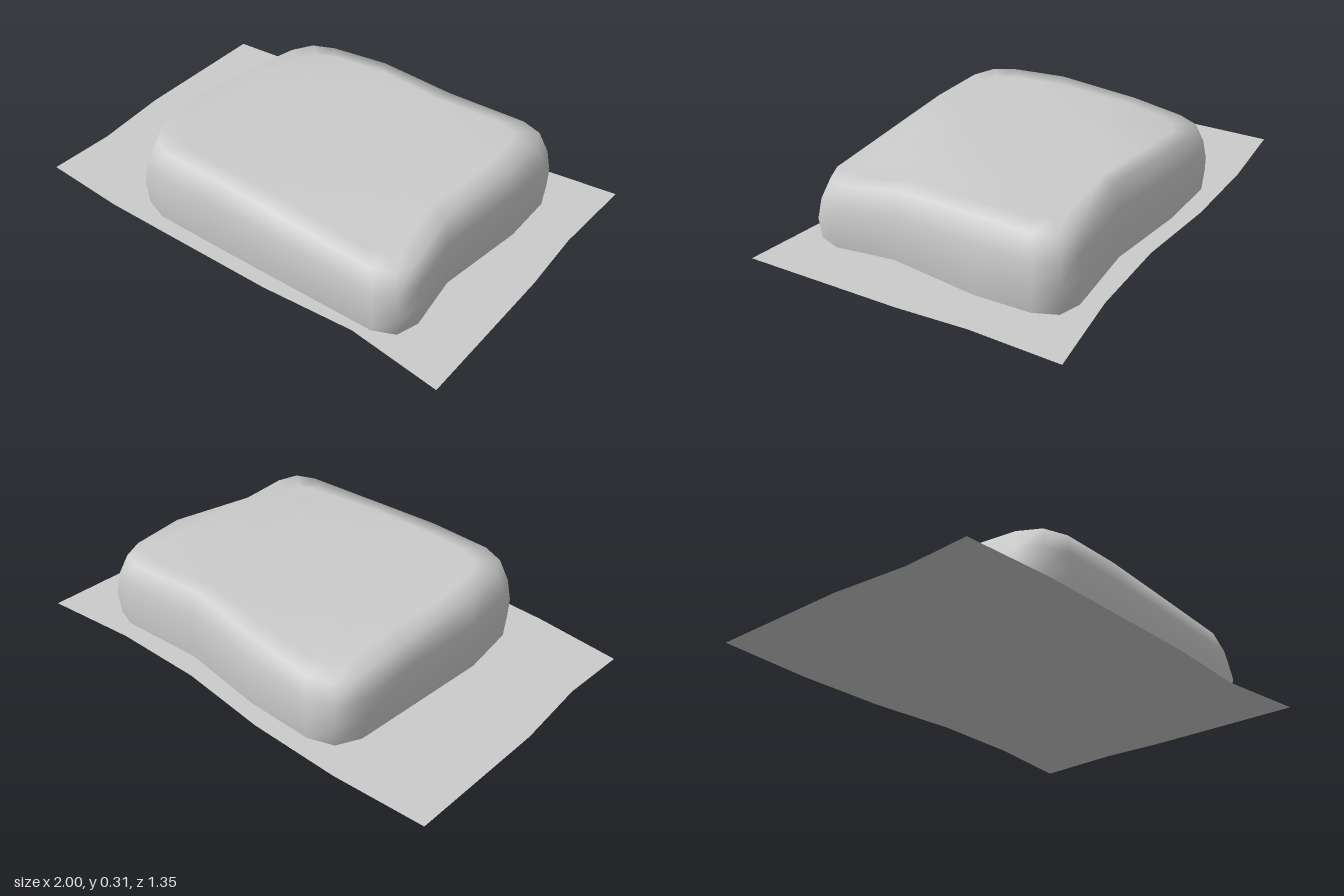
import * as THREE from 'three';

const grey = () => new THREE.MeshStandardMaterial({ color: 0xcccccc, side: THREE.DoubleSide });

// Cushion outline at its widest, as [x, z], running back, +x side, front, -x side
const outline = [
  [-0.4, -0.58], [-0.1, -0.58], [0.29, -0.535], [0.66, -0.565], [0.755, -0.535],
  [0.795, -0.44], [0.8, -0.2], [0.745, 0.2], [0.78, 0.45], [0.75, 0.545],
  [0.66, 0.585], [0.2, 0.587], [-0.1, 0.587], [-0.4, 0.585], [-0.505, 0.545],
  [-0.56, 0.45], [-0.595, 0.2], [-0.57, -0.2], [-0.555, -0.44], [-0.505, -0.54],
];

// Flat sheet outline, as [x, z]
const sheetOutline = [
  [-1, -0.625], [-0.6, -0.655], [-0.2, -0.655], [0.2, -0.62], [0.6, -0.63], [1, -0.68],
  [0.985, -0.3], [1, 0], [1, 0.67], [0.6, 0.62], [0.2, 0.645], [-0.2, 0.645],
  [-0.6, 0.645], [-0.98, 0.62], [-0.97, 0.33], [-1, 0],
];

// Top height: level, sagging at the front +x and back -x corners
function topHeight(x, z) {
  const u = (x - 0.1) / 0.65, v = z / 0.55;
  const { smoothstep } = THREE.MathUtils;
  return 0.305
    - 0.048 * smoothstep(u + v, 0.7, 1.7)
    - 0.05 * smoothstep(-u - v, 0.9, 1.9)
    - 0.015 * smoothstep(u - v, 1.3, 1.9);
}

function cushionGeometry() {
  // Rings as [outline scale, fraction of the top height]: up the wall, then in over the top
  const rings = [
    [0.988, 0], [1, 0.35], [0.978, 0.68], [0.928, 1],
    [0.8, 1], [0.6, 1], [0.4, 1], [0.2, 1],
  ];
  const cx = 0.1, n = outline.length;
  const positions = [], index = [];
  for (const [s, f] of rings) {
    for (const [ox, oz] of outline) {
      const x = cx + (ox - cx) * s, z = oz * s;
      // The wall follows the height of the rim above it
      const h = f < 1 ? topHeight(cx + (ox - cx) * 0.928, oz * 0.928) : topHeight(x, z);
      positions.push(x, h * f, z);
    }
  }
  for (let r = 0; r < rings.length - 1; r++) {
    for (let i = 0; i < n; i++) {
      const a = r * n + i, b = r * n + (i + 1) % n;
      index.push(a, a + n, b, b, a + n, b + n);
    }
  }
  // Close the middle of the top
  const last = (rings.length - 1) * n, centre = positions.length / 3;
  positions.push(cx, topHeight(cx, 0), 0);
  for (let i = 0; i < n; i++) index.push(last + i, centre, last + (i + 1) % n);

  const geo = new THREE.BufferGeometry();
  geo.setAttribute('position', new THREE.Float32BufferAttribute(positions, 3));
  geo.setIndex(index);
  geo.computeVertexNormals();
  return geo;
}

export function createModel() {
  const model = new THREE.Group();
  model.name = 'cushionOnSheet';

  // Thin ground sheet with an uneven edge
  const shape = new THREE.Shape(sheetOutline.map(([x, z]) => new THREE.Vector2(x, -z)));
  const sheet = new THREE.Mesh(new THREE.ShapeGeometry(shape).rotateX(-Math.PI / 2), grey());
  sheet.name = 'sheet';

  // Soft block resting on the sheet
  const cushion = new THREE.Mesh(cushionGeometry(), grey());
  cushion.name = 'cushion';

  model.add(sheet, cushion);
  return model;
}
